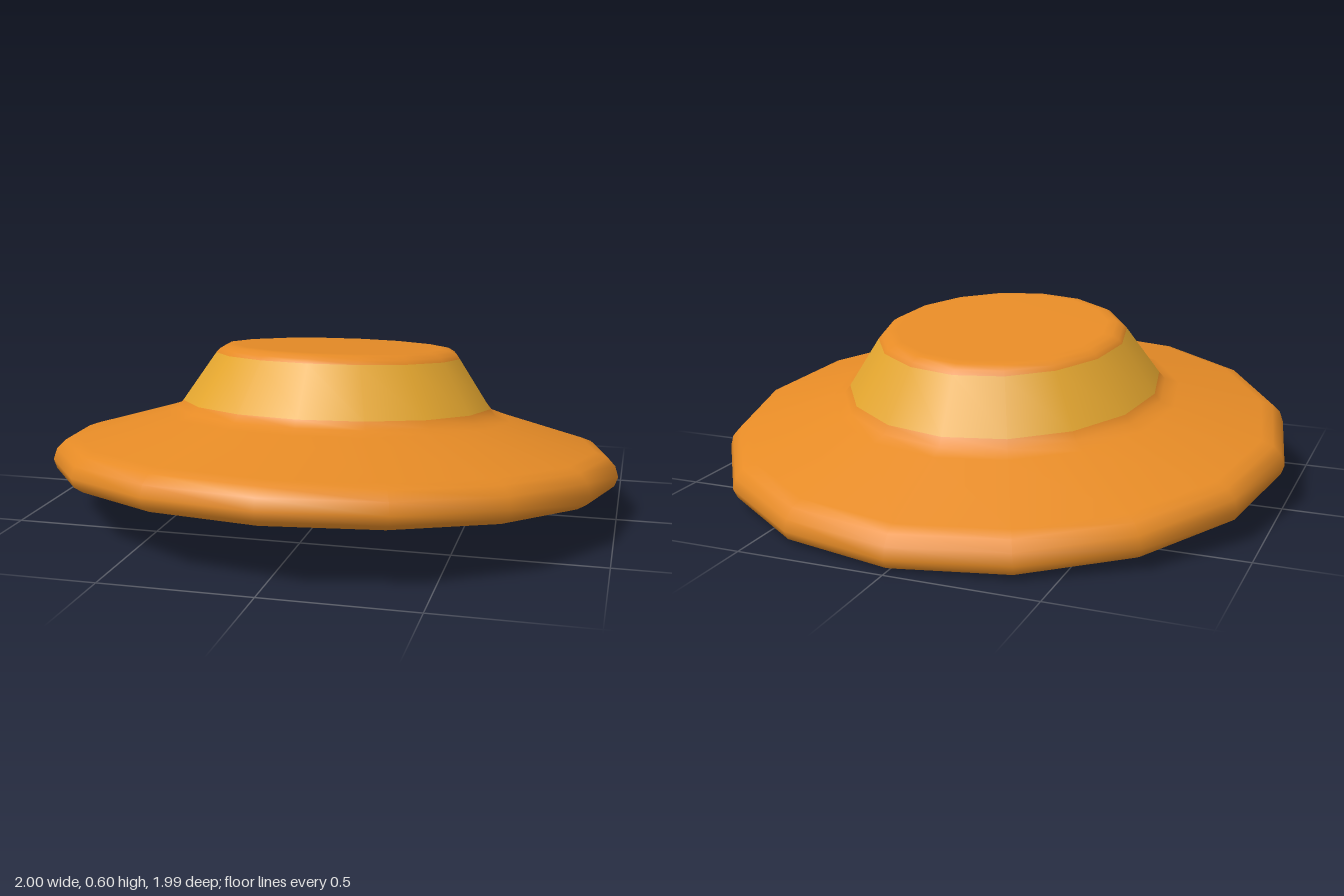
import * as THREE from 'three';

const SIDES = 16;
const TILT = 0.108;

const toPoints = (list) => list.map(([r, y]) => new THREE.Vector2(r, y));

export function createModel() {
  const orange = new THREE.MeshStandardMaterial({ color: 0xe68b26 });
  orange.name = 'orange felt';
  const gold = new THREE.MeshStandardMaterial({ color: 0xe4a62f });
  gold.name = 'gold band';

  // Hat profile, from the lower rim up to the centre of the crown
  const profile = toPoints([
    [0.957, 0], [0.988, 0.018], [1, 0.05], [0.988, 0.088], [0.96, 0.118], [0.92, 0.132],
    [0.62, 0.219], [0.572, 0.236], [0.551, 0.262],
    [0.437, 0.432], [0.425, 0.446], [0.402, 0.459], [0.37, 0.462], [0, 0.462],
  ]);
  const bandRow = 8; // profile step covered by the band

  // One smooth shell; the band is a material group in every segment
  const shell = new THREE.LatheGeometry(profile, SIDES);
  const rows = profile.length - 1;
  for (let i = 0; i < SIDES; i++) {
    const start = i * rows * 6;
    shell.addGroup(start, bandRow * 6, 0);
    shell.addGroup(start + bandRow * 6, 6, 1);
    shell.addGroup(start + (bandRow + 1) * 6, (rows - bandRow - 1) * 6, 0);
  }
  const hat = new THREE.Mesh(shell, [orange, gold]);
  hat.name = 'brimAndCrown';

  // Hollowed underside rising to a flat middle, with a sharp outer edge
  const hollow = toPoints([[0, 0.065], [0.49, 0.065], [0.957, 0]]);
  const underside = new THREE.Mesh(new THREE.LatheGeometry(hollow, SIDES), orange);
  underside.name = 'underside';

  // The hat is tipped back, front edge raised
  const tilted = new THREE.Group();
  tilted.name = 'tiltedHat';
  tilted.add(hat, underside);
  tilted.rotation.x = -TILT;
  tilted.position.set(0, 0.104, 0.007);

  const model = new THREE.Group();
  model.name = 'hat';
  model.add(tilted);
  return model;
}
